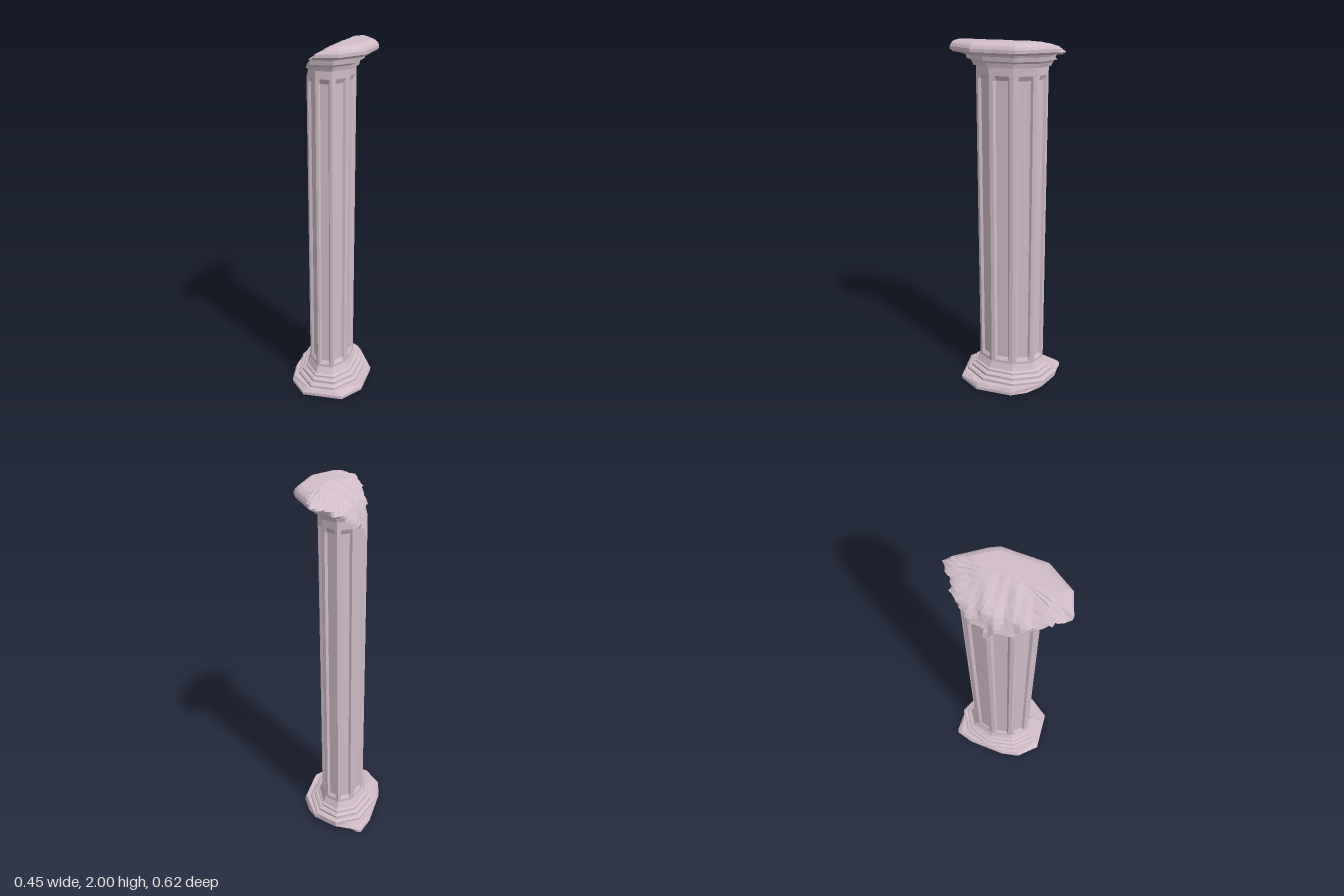
import * as THREE from 'three';

const material = new THREE.MeshStandardMaterial({ color: 0xd0bcc8, flatShading: true });

// Stretched nine-sided outline, as [x, z] corners
function nonagon(rx, rz, cx = -0.01, cz = -0.017) {
  return Array.from({ length: 9 }, (_, i) => {
    const a = THREE.MathUtils.degToRad(-10 + 40 * i);
    return [cx + rx * Math.cos(a), cz + rz * Math.sin(a)];
  });
}

// Splits each edge at the given fractions; negative-depth points sink inward as a flute
function divide(outline, stops, depth = 0) {
  const out = [];
  outline.forEach((p, i) => {
    const q = outline[(i + 1) % outline.length];
    const dx = q[0] - p[0], dz = q[1] - p[1], len = Math.hypot(dx, dz);
    for (const t of stops) {
      const d = t > 0.2 && t < 0.8 ? depth : 0;
      out.push([p[0] + dx * t - (dz / len) * d, p[1] + dz * t + (dx / len) * d]);
    }
  });
  return out;
}

const scaled = (outline, s) => outline.map(([x, z]) => [x * s, z * s]);

// Fracture surface: everything left of this x is broken away
const breakLine = [[1.0, -0.4], [1.76, -0.15], [1.87, -0.1], [1.91, -0.075], [1.95, -0.015], [1.98, 0.03], [2.0, 0.07]];
function breakX(y, z) {
  let i = 1;
  while (i < breakLine.length - 1 && y > breakLine[i][0]) i++;
  const [y0, x0] = breakLine[i - 1], [y1, x1] = breakLine[i];
  const base = x0 + ((x1 - x0) * (y - y0)) / (y1 - y0);
  const rough = 0.006 * Math.sin(z * 43 + y * 30) + 0.004 * Math.sin(z * 97);
  return base + rough + (z < 0 ? z * z : -0.1 * z);
}

// Pulls broken-off points toward the sound side until they meet the fracture
function fracture(outline, y) {
  const qx = Math.max(...outline.map((p) => p[0])) * 0.55, qz = -0.02;
  return outline.map(([x, z]) => {
    if (x >= breakX(y, z)) return [x, z];
    let lo = 0, hi = 1;
    for (let k = 0; k < 20; k++) {
      const t = (lo + hi) / 2;
      if (qx + (x - qx) * t >= breakX(y, qz + (z - qz) * t)) lo = t; else hi = t;
    }
    return [qx + (x - qx) * lo, qz + (z - qz) * lo];
  });
}

// Skins a stack of [y, outline] sections and closes both ends
function loft(name, sections) {
  const pos = [];
  const rings = sections.map(([y, o]) => o.map(([x, z]) => [x, y, z]));
  const n = rings[0].length;
  const middle = (r) => [0, 1, 2].map((k) => r.reduce((s, p) => s + p[k], 0) / n);
  const first = rings[0], last = rings[rings.length - 1];
  const c0 = middle(first), c1 = middle(last);
  for (let i = 0; i < n; i++) {
    const j = (i + 1) % n;
    pos.push(...c0, ...first[i], ...first[j], ...c1, ...last[j], ...last[i]);
    for (let r = 0; r < rings.length - 1; r++) {
      const a = rings[r], b = rings[r + 1];
      pos.push(...a[i], ...b[i], ...a[j], ...a[j], ...b[i], ...b[j]);
    }
  }
  const g = new THREE.BufferGeometry();
  g.setAttribute('position', new THREE.Float32BufferAttribute(pos, 3));
  g.computeVertexNormals();
  const mesh = new THREE.Mesh(g, material);
  mesh.name = name;
  return mesh;
}

export function createModel() {
  const group = new THREE.Group();
  group.name = 'brokenColumn';

  // Plinth, undercut at the back right and chipped along the front
  const foot = [[0.225, -0.06], [0.205, 0.15], [0.11, 0.265], [-0.12, 0.267], [-0.213, 0.155], [-0.227, 0.04],
    [-0.2, -0.185], [-0.16, -0.29], [-0.14, -0.295], [0, -0.22], [0.18, -0.15]];
  const footTop = [[0.215, -0.06], [0.195, 0.145], [0.07, 0.25], [-0.09, 0.25], [-0.203, 0.145], [-0.218, 0.03],
    [-0.19, -0.18], [-0.15, -0.265], [-0.07, -0.275], [0, -0.285], [0.13, -0.225]];
  const footMid = foot.map((p, i) => (i < 9 ? p : footTop[i]));
  group.add(loft('plinth', [[0, foot], [0.018, footMid], [0.038, footTop]]));

  // Stepped base mouldings with softened upper edges
  const steps = [[0.2, 0.275, 0.03, 0.06], [0.178, 0.248, 0.06, 0.083], [0.155, 0.225, 0.083, 0.102]];
  const base = [];
  for (const [rx, rz, y0, y1] of steps) {
    base.push([y0, nonagon(rx, rz)], [y1 - 0.008, nonagon(rx, rz)], [y1, nonagon(rx - 0.012, rz - 0.012)]);
  }
  base.push([0.14, nonagon(0.127, 0.193)]);
  group.add(loft('baseMouldings', base));

  // Fluted shaft, its upper left corner broken away
  const stops = [0, 0.16, 0.25, 0.5, 0.75, 0.84];
  const shaft = [[0.13, 0], [0.155, 0], [0.175, 0.013], [1.7, 0.013], [1.76, 0.013], [1.8, 0.013], [1.825, 0], [1.85, 0], [1.875, 0]];
  group.add(loft('shaft', shaft.map(([y, d]) => [y, fracture(divide(nonagon(0.127, 0.193), stops, d), y)])));

  // Capital mouldings flaring up to the top slab
  const fine = [0, 0.2, 0.4, 0.6, 0.8];
  const capital = [[1.868, 0.14, 0.205], [1.89, 0.145, 0.215], [1.9, 0.155, 0.225], [1.902, 0.168, 0.24], [1.925, 0.172, 0.245],
    [1.928, 0.19, 0.265], [1.945, 0.198, 0.275]];
  group.add(loft('capitalMouldings', capital.map(([y, rx, rz]) => [y, fracture(divide(nonagon(rx, rz), fine), y)])));

  // Broken top slab
  const slab = [[0.225, -0.08], [0.2, 0.15], [0.095, 0.283], [-0.02, 0.31], [-0.08, 0.295], [-0.2, 0.15], [-0.22, -0.05],
    [-0.15, -0.25], [0, -0.31], [0.1, -0.312], [0.205, -0.13]];
  const slabRings = [[1.94, 0.94], [1.952, 1], [1.968, 1], [1.982, 0.97], [1.992, 0.92], [2, 0.84]];
  group.add(loft('topSlab', slabRings.map(([y, s]) => [y, fracture(divide(scaled(slab, s), fine), y)])));

  return group;
}
